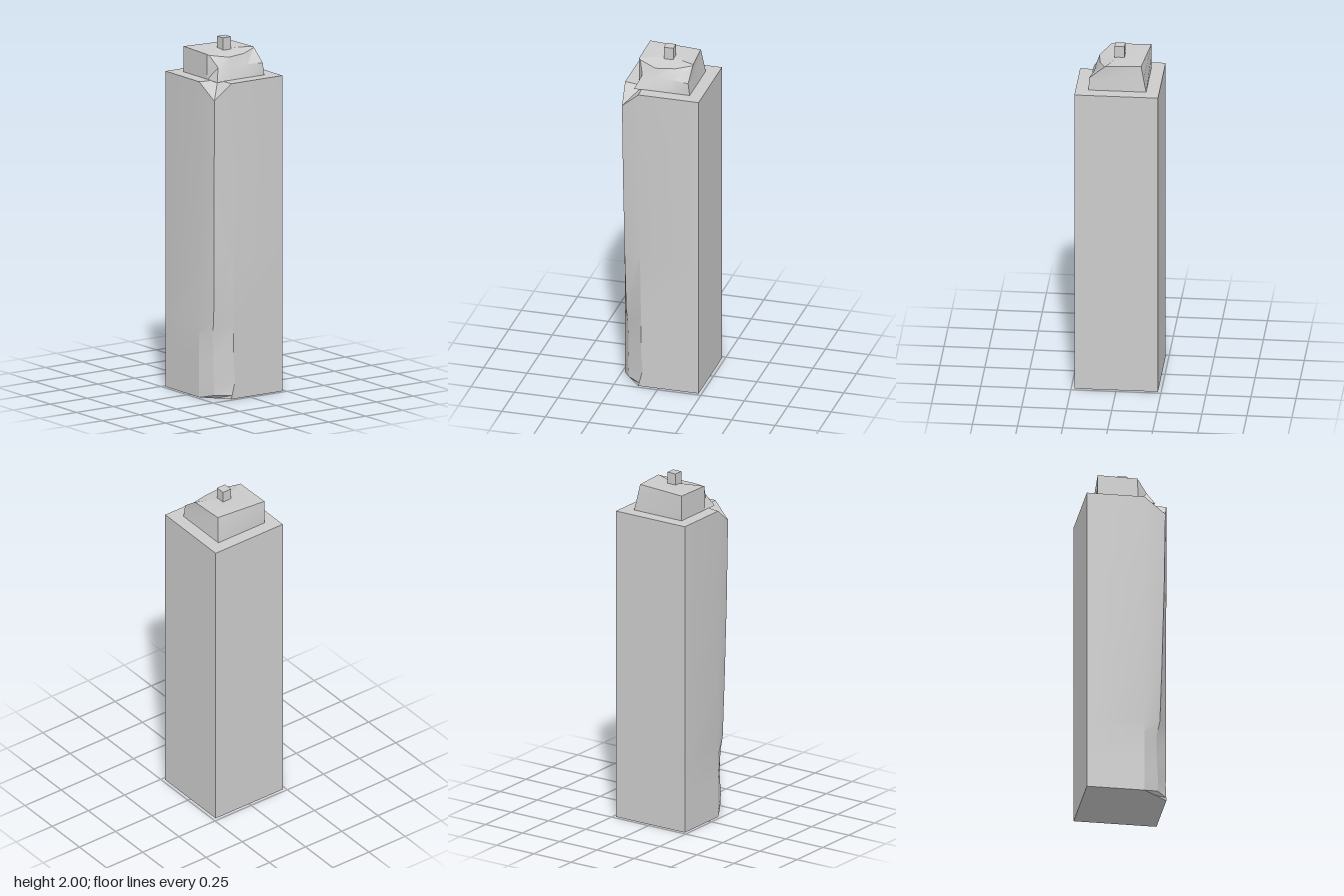
import * as THREE from 'three';
import { toCreasedNormals } from 'three/addons/utils/BufferGeometryUtils.js';

const material = new THREE.MeshStandardMaterial({ color: 0xcccccc });

// Skin stacked rings (clockwise seen from above) and close both ends around the axis
function loft(rings, bottomY, topY, crease) {
  const pos = [];
  const tri = (a, b, c) => pos.push(...a, ...b, ...c);
  const n = rings[0].length;
  const last = rings[rings.length - 1];
  for (let j = 0; j < n; j++) {
    const k = (j + 1) % n;
    for (let i = 0; i + 1 < rings.length; i++) {
      const lo = rings[i], hi = rings[i + 1];
      tri(lo[j], hi[j], lo[k]);
      tri(lo[k], hi[j], hi[k]);
    }
    tri([0, bottomY, 0], rings[0][j], rings[0][k]);
    tri([0, topY, 0], last[k], last[j]);
  }
  const geometry = new THREE.BufferGeometry();
  geometry.setAttribute('position', new THREE.Float32BufferAttribute(pos, 3));
  return toCreasedNormals(geometry, crease);
}

function addMesh(group, name, geometry) {
  const mesh = new THREE.Mesh(geometry, material);
  mesh.name = name;
  group.add(mesh);
  return mesh;
}

export function createModel() {
  const group = new THREE.Group();
  group.name = 'squareTower';

  // Tall square body with one worn front corner: [y, front cut x, ridge x, ridge z]
  const h = 0.232;
  const wear = [
    [0, -0.115, -0.174, 0.161],
    [0.02, -0.11, -0.188, 0.172],
    [0.1, -0.09, -0.193, 0.172],
    [0.22, -0.1, -0.19, 0.165],
    [0.36, -0.1, -0.195, 0.165],
    [0.44, -0.1, -0.199, 0.182],
    [0.8, -0.105, -0.205, 0.193],
    [1.25, -0.11, -0.211, 0.204],
    [1.7, -0.115, -0.215, 0.21],
  ];
  const bodyRing = (y, cutX, x, z, ridgeY = y) => [
    [-h, y, -h], [h, y, -h], [h, y, h], [cutX, y, h], [x, ridgeY, z], [-h, y, 0.09],
  ];
  const bodyRings = wear.map(([y, c, x, z]) => bodyRing(y, c, x, z));
  // The corner is chipped from the ridge end to a notch in the top face
  bodyRings.push(bodyRing(1.79, -0.115, -0.215, 0.21, 1.7));
  bodyRings.push(bodyRing(1.79, -0.115, -0.12, 0.11));
  addMesh(group, 'body', loft(bodyRings, 0, 1.79, 0.4));

  // Uneven cap block, scooped away along its front
  const capBase = [[-0.16, -0.16], [0.16, -0.16], [0.16, 0.07], [0.16, 0.16],
    [0.06, 0.16], [-0.05, 0.16], [-0.16, 0.16], [-0.16, 0.065]].map(([x, z]) => [x, 1.788, z]);
  const capMiddle = [[-0.16, -0.16], [0.15, -0.145], [0.155, 0.07], [0.15, 0.158],
    [0.06, 0.138], [-0.05, 0.135], [-0.125, 0.12], [-0.16, 0.065]].map(([x, z]) => [x, 1.86, z]);
  const capTop = [
    [-0.16, 1.935, -0.16], [0.14, 1.935, -0.13], [0.152, 1.935, 0.065], [0.152, 1.93, 0.072],
    [0.06, 1.915, 0.105], [-0.05, 1.91, 0.118], [-0.15, 1.925, 0.07], [-0.16, 1.93, 0.062],
  ];
  addMesh(group, 'cap', loft([capBase, capMiddle, capTop], 1.788, 1.935, 0.4));

  // Small square stem
  addMesh(group, 'stem', new THREE.BoxGeometry(0.055, 0.075, 0.055)).position.y = 1.9625;

  return group;
}
